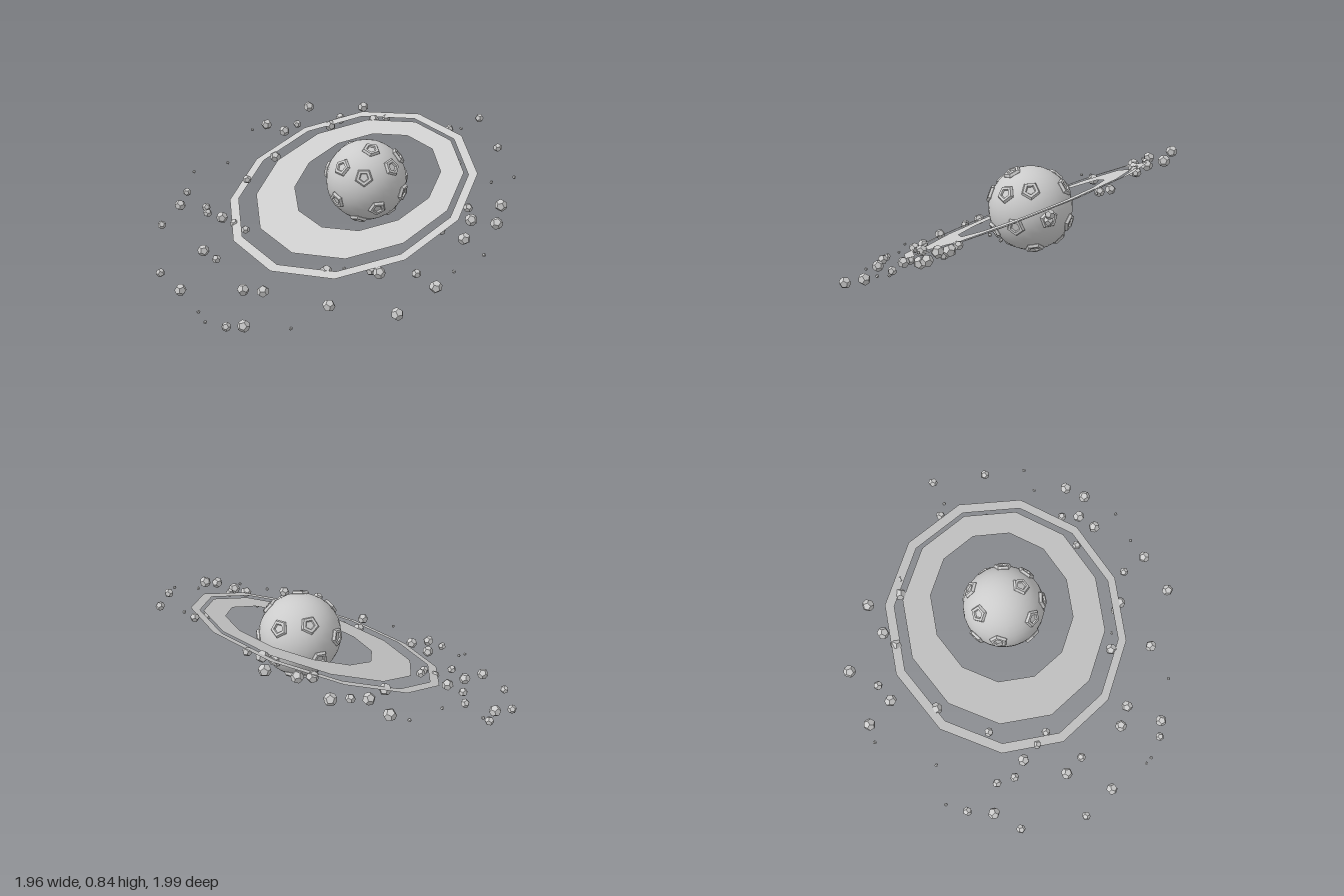
import * as THREE from 'three';

const grey = new THREE.MeshStandardMaterial({ color: 0xcccccc });
const greyFlat = new THREE.MeshStandardMaterial({ color: 0xcccccc, flatShading: true });
const greySheet = new THREE.MeshStandardMaterial({ color: 0xcccccc, side: THREE.DoubleSide });

const CENTRE = new THREE.Vector3(0.215, 0.545, -0.015);
const RADIUS = 0.228;

// Directions of the craters, seen from the planet's centre
const CRATERS = [
  [0.3, 0.51, 0.8], [-0.44, 0.35, 0.83], [-0.08, 0.89, 0.44], [0.68, 0.63, 0.37],
  [0.58, 0.58, -0.58], [-0.12, 0.68, -0.73], [1, 0, 0.06], [0.76, -0.23, -0.61],
  [0.65, -0.19, 0.74], [0.57, -0.79, 0.2], [-0.79, 0.19, -0.58], [-0.79, 0.5, 0.34],
  [-0.9, -0.33, 0.27], [-0.3, -0.14, -0.94], [-0.16, -0.86, -0.47], [-0.1, -0.45, 0.88],
  [-0.35, -0.85, 0.35], [0.3, -0.75, -0.6],
];

// Centres of the orbiting rocks, by size
const ROCKS = {
  largeRock: { radius: 0.033, at: [
    [-0.055, 0.66, -0.97], [0.22, 0.76, -0.93], [0.01, 0.65, -0.815], [-0.725, 0.32, -0.615],
    [-0.55, 0.315, -0.33], [-0.12, 0.55, -0.62], [0.255, 0.7, -0.65], [0.335, 0.73, -0.68],
    [0.49, 0.79, -0.68], [0.48, 0.75, -0.5], [-0.715, 0.205, -0.145], [-0.9, 0.08, 0.05],
    [-0.62, 0.13, 0.28], [-0.54, 0.145, 0.37], [-0.695, 0.045, 0.52], [-0.3, 0.16, 0.685],
    [-0.22, 0.24, 0.45], [-0.005, 0.27, 0.64], [-0.055, 0.19, 0.955], [0.17, 0.28, 0.92],
    [0.435, 0.42, 0.72], [0.51, 0.49, 0.655], [0.605, 0.49, 0.75], [0.68, 0.55, 0.665],
  ] },
  mediumRock: { radius: 0.025, at: [
    [0.105, 0.68, -0.835], [-0.86, 0.245, -0.525], [-0.59, 0.32, -0.52], [-0.61, 0.32, -0.42],
    [-0.36, 0.49, -0.435], [0.55, 0.765, -0.465], [-0.96, 0.105, -0.16], [-0.51, 0.31, -0.22],
    [-0.47, 0.295, -0.14], [-0.675, 0.195, -0.025], [0.78, 0.765, -0.09], [0.95, 0.825, -0.04],
    [0.705, 0.63, 0.15], [0.9, 0.73, 0.255], [-0.77, 0.03, 0.465], [-0.03, 0.265, 0.59],
    [0.145, 0.29, 0.76], [0.545, 0.52, 0.56], [0.385, 0.42, 0.57], [-0.65, 0.355, -0.735],
  ] },
  pebble: { radius: 0.01, at: [
    [-0.145, 0.63, -0.99], [-0.58, 0.45, -0.82], [-0.38, 0.5, -0.765], [0.83, 0.775, -0.04],
    [-0.87, 0.06, 0.305], [-0.85, 0.02, 0.355], [-0.505, 0.075, 0.69], [-0.14, 0.26, 0.5],
    [0.285, 0.33, 0.89], [0.455, 0.39, 0.885], [0.73, 0.615, 0.48], [0.865, 0.63, 0.49],
  ] },
};

function add(parent, name, geometry, material) {
  const mesh = new THREE.Mesh(geometry, material);
  mesh.name = name;
  parent.add(mesh);
  return mesh;
}

// Corners of a twelve-sided outline
function outline(radius, offset) {
  return Array.from({ length: 12 }, (_, i) => {
    const a = (i / 12) * Math.PI * 2;
    return new THREE.Vector2(offset + Math.cos(a) * radius, Math.sin(a) * radius);
  });
}

// Flat ring whose hole may sit off centre
function ringGeometry(outer, outerOffset, inner, innerOffset) {
  const shape = new THREE.Shape(outline(outer, outerOffset));
  shape.holes.push(new THREE.Path(outline(inner, innerOffset)));
  return new THREE.ShapeGeometry(shape).rotateX(-Math.PI / 2);
}

export function createModel() {
  const model = new THREE.Group();
  model.name = 'ringedPlanet';

  // Planet body
  const planet = new THREE.Group();
  planet.name = 'planet';
  planet.position.copy(CENTRE);
  model.add(planet);
  add(planet, 'planetBody', new THREE.SphereGeometry(RADIUS, 28, 18), grey);

  // Craters: five-sided raised rim around a small flat floor
  const rimGeometry = new THREE.TorusGeometry(0.036, 0.016, 6, 5);
  const floorGeometry = new THREE.CircleGeometry(0.03, 5);
  const forward = new THREE.Vector3(0, 0, 1);
  CRATERS.forEach((d, i) => {
    const direction = new THREE.Vector3(...d).normalize();
    const crater = new THREE.Group();
    crater.name = 'crater';
    crater.position.copy(direction).multiplyScalar(RADIUS - 0.003);
    crater.quaternion.setFromUnitVectors(forward, direction);
    crater.rotateZ(i * 0.9);
    add(crater, 'craterRim', rimGeometry, greyFlat);
    add(crater, 'craterFloor', floorGeometry, grey).position.z = 0.005;
    planet.add(crater);
  });

  // Tilted rings, drifting outward toward the low side
  const rings = new THREE.Group();
  rings.name = 'rings';
  const along = new THREE.Vector3(0.94, 0.34, 0.077).normalize();
  const normal = new THREE.Vector3(0, -0.243, 0.97).cross(along).normalize();
  const across = along.clone().cross(normal);
  rings.quaternion.setFromRotationMatrix(new THREE.Matrix4().makeBasis(along, normal, across));
  rings.position.copy(CENTRE);
  add(rings, 'innerRing', ringGeometry(0.605, -0.058, 0.425, 0), greySheet);
  add(rings, 'outerRing', ringGeometry(0.722, -0.105, 0.67, -0.103), greySheet);
  model.add(rings);

  // Orbiting rocks
  const debris = new THREE.Group();
  debris.name = 'debris';
  for (const [name, { radius, at }] of Object.entries(ROCKS)) {
    const geometry = new THREE.DodecahedronGeometry(radius);
    at.forEach((p, i) => {
      const rock = add(debris, name, geometry, greyFlat);
      rock.position.set(...p);
      rock.rotation.set(i * 1.3, i * 2.1, i * 0.7);
    });
  }
  model.add(debris);

  return model;
}
